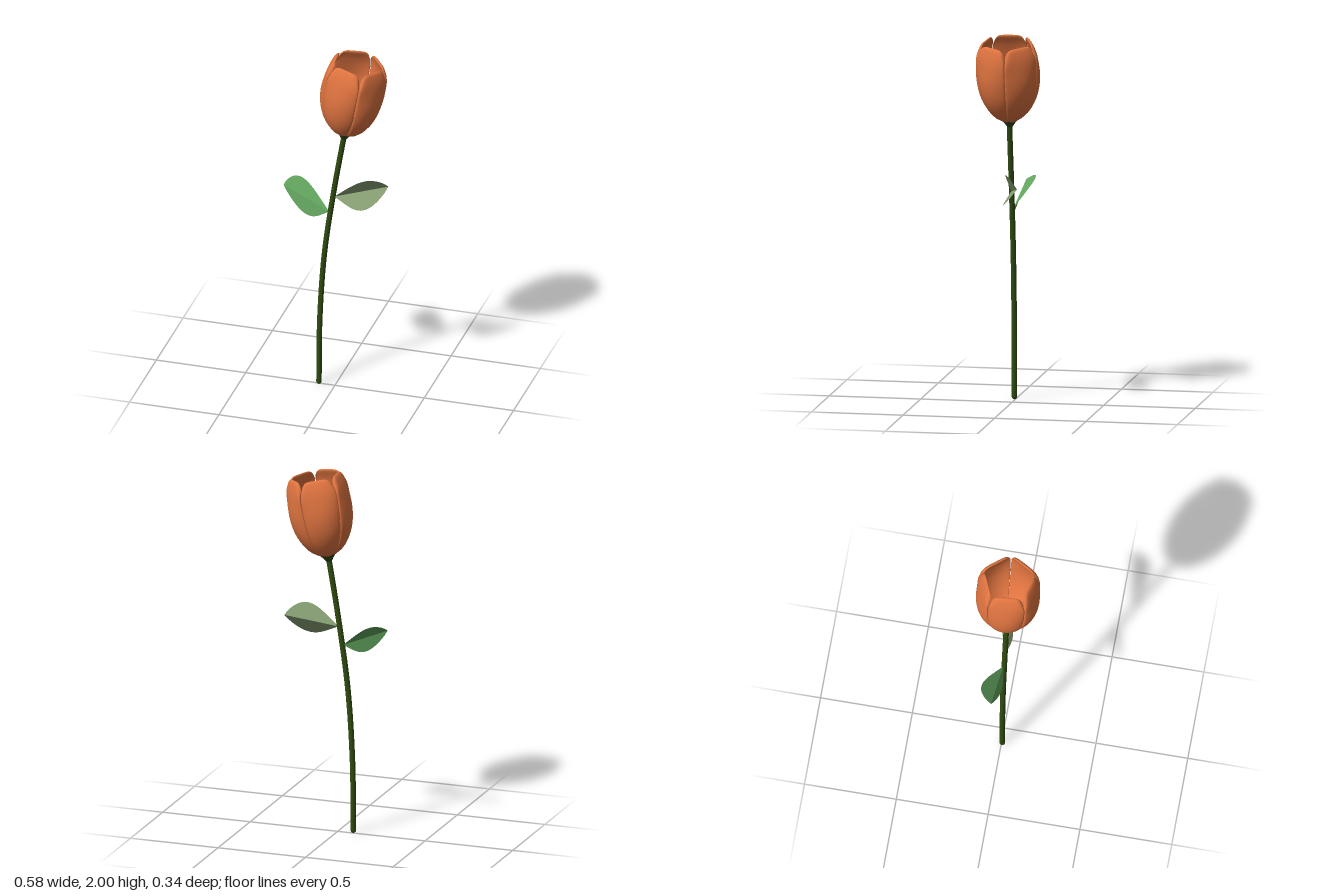
import * as THREE from 'three';
import { toCreasedNormals } from 'three/addons/utils/BufferGeometryUtils.js';

const V = (x, y, z) => new THREE.Vector3(x, y, z);

// Grid of (rows + 1) x cols points; closed wraps the columns into a loop
function gridGeometry(rows, cols, closed, point) {
  const pos = [], index = [];
  for (let i = 0; i <= rows; i++)
    for (let j = 0; j < cols; j++) pos.push(...point(i / rows, j / (closed ? cols : cols - 1)));
  for (let i = 0; i < rows; i++)
    for (let j = 0; j < (closed ? cols : cols - 1); j++) {
      const k = (j + 1) % cols;
      const a = i * cols + j, b = i * cols + k, c = a + cols, d = b + cols;
      index.push(a, b, d, a, d, c);
    }
  const geo = new THREE.BufferGeometry();
  geo.setAttribute('position', new THREE.Float32BufferAttribute(pos, 3));
  geo.setIndex(index);
  geo.computeVertexNormals();
  return geo;
}

// Thick cupped petal that faces +x: round at the belly, flatter at the tip
function petalGeometry() {
  const profile = new THREE.SplineCurve([
    [0.02, 0], [0.082, 0.04], [0.125, 0.1], [0.152, 0.17], [0.163, 0.25],
    [0.156, 0.33], [0.142, 0.395], [0.12, 0.45],
  ].map(([r, h]) => new THREE.Vector2(r, h)));
  return gridGeometry(26, 36, true, (s, t) => {
    const v = Math.sin(s * Math.PI / 2);
    const p = profile.getPoint(v);
    const phi = t * Math.PI * 2;
    const u = Math.cos(phi), side = Math.sin(phi);
    const flat = THREE.MathUtils.smoothstep(v, 0.5, 1);
    const tip = v > 0.94 ? Math.sqrt(Math.max(0, 1 - ((v - 0.94) / 0.06) ** 2)) : 1;
    const thick = 0.009 * tip * Math.sign(side) * Math.sqrt(Math.abs(side));
    const a = u * 0.62;
    const radial = p.x * THREE.MathUtils.lerp(Math.cos(a), 1, flat) + thick;
    const across = p.x * Math.sin(a) * (1 + 0.2 * flat);
    return [radial, p.y - 0.045 * u ** 6 * v ** 4, across];
  });
}

// Folded leaf: midrib from base to tip, edges reached by two side vectors
function leafGeometry(base, tip, upper, lower) {
  const geo = gridGeometry(20, 9, false, (t, s) => {
    const w = Math.sin(Math.PI * Math.min(1, t ** 1.35)) ** 0.8 || 0;
    const u = s * 2 - 1;
    return base.clone().lerp(tip, t)
      .addScaledVector(u > 0 ? upper : lower, w * Math.abs(u)).toArray();
  });
  return toCreasedNormals(geo, 0.4);
}

export function createModel() {
  const model = new THREE.Group();
  model.name = 'flower';
  const petalMat = new THREE.MeshStandardMaterial({ color: 0xe07440 });
  petalMat.name = 'petalOrange';
  const stemMat = new THREE.MeshStandardMaterial({ color: 0x2f4a10 });
  stemMat.name = 'stemGreen';
  const leafMat = new THREE.MeshStandardMaterial({ color: 0x62a45e, side: THREE.DoubleSide });
  leafMat.name = 'leafGreen';
  const paleMat = new THREE.MeshStandardMaterial({ color: 0x88a074, side: THREE.DoubleSide });
  paleMat.name = 'paleLeafGreen';

  const add = (parent, name, geo, mat) => {
    const mesh = new THREE.Mesh(geo, mat);
    mesh.name = name;
    parent.add(mesh);
    return mesh;
  };

  // Bent stem with a rounded foot
  const path = new THREE.CatmullRomCurve3([
    V(-0.088, 0.015, 0.005), V(-0.083, 0.4, 0.005), V(-0.057, 0.8, 0.005),
    V(-0.002, 1.2, 0.005), V(0.055, 1.54, 0.005),
  ]);
  add(model, 'stem', new THREE.TubeGeometry(path, 40, 0.015, 12), stemMat);
  add(model, 'stemFoot', new THREE.SphereGeometry(0.015, 12, 8), stemMat)
    .position.set(-0.088, 0.015, 0.005);

  // Leaves
  add(model, 'rightSideLeaf', leafGeometry(V(-0.03, 1.05, 0), V(-0.294, 1.165, -0.02),
    V(-0.02, 0.07, -0.075), V(0.03, -0.095, 0.025)), leafMat);
  add(model, 'leftSideLeaf', leafGeometry(V(-0.004, 1.15, 0.005), V(0.276, 1.21, -0.08),
    V(0.005, 0.082, 0.05), V(0, -0.088, 0.065)), paleMat);

  // Tilted bloom
  const bloom = new THREE.Group();
  bloom.name = 'bloom';
  bloom.position.set(0.055, 1.54, 0.003);
  bloom.rotation.z = -0.17;
  model.add(bloom);

  // Calyx outside, rounded into a dome inside the petals
  const calyx = [[0.001, -0.03], [0.016, -0.028], [0.026, -0.012], [0.042, 0.008], [0.056, 0.028],
    [0.064, 0.05], [0.058, 0.075], [0.043, 0.095], [0.023, 0.107], [0, 0.111]];
  add(bloom, 'calyx', new THREE.LatheGeometry(
    calyx.map(([r, h]) => new THREE.Vector2(r, h)), 24), stemMat);

  // Five petals around the axis
  const petal = petalGeometry();
  for (let i = 0; i < 5; i++) {
    add(bloom, 'petal' + (i + 1), petal, petalMat)
      .rotation.y = -THREE.MathUtils.degToRad(175 + i * 72);
  }
  return model;
}
